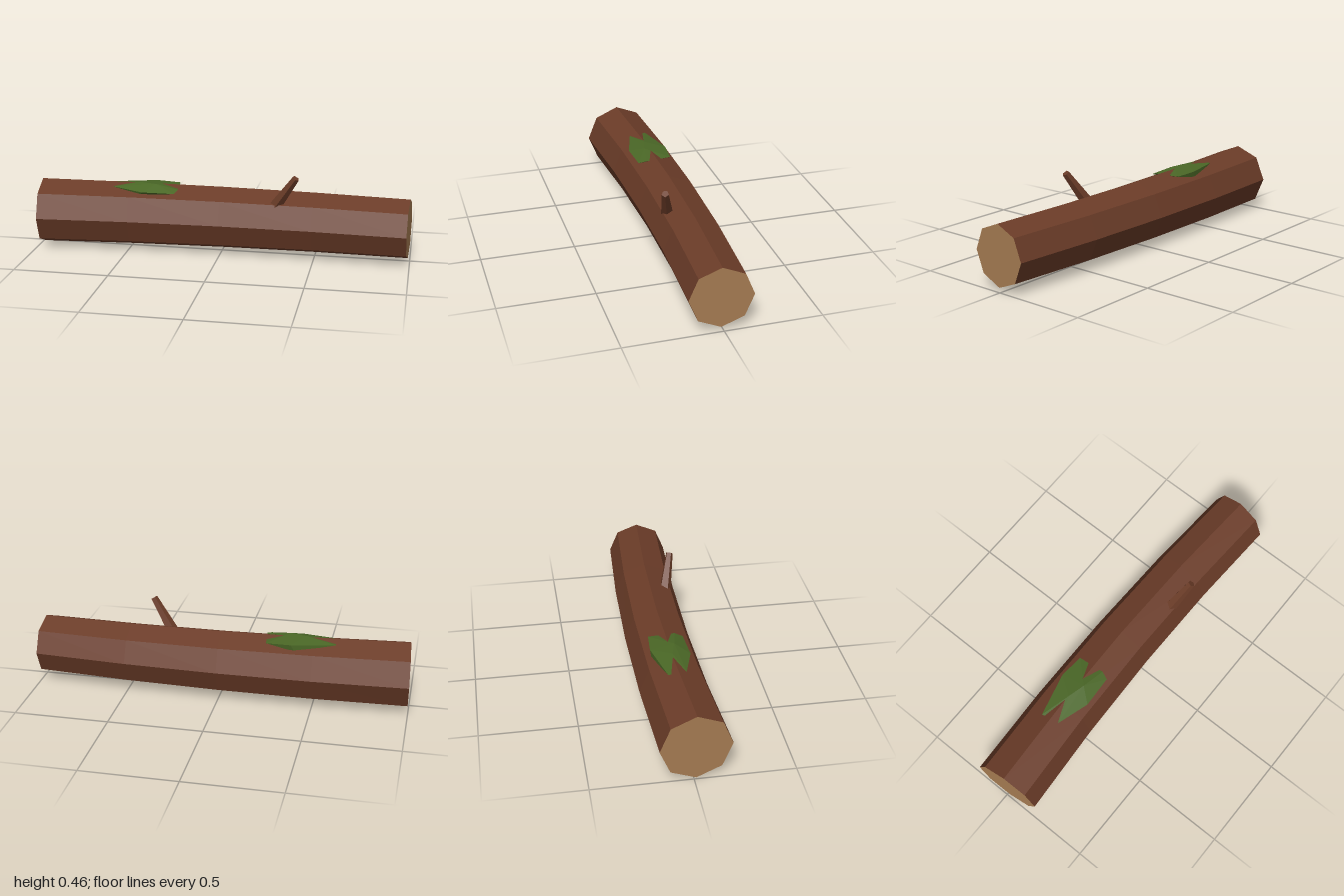
import * as THREE from 'three';
import { ConvexGeometry } from 'three/addons/geometries/ConvexGeometry.js';

const flat = (name, color) => {
  const m = new THREE.MeshStandardMaterial({ color, flatShading: true });
  m.name = name;
  return m;
};

export function createModel() {
  const group = new THREE.Group();
  group.name = 'fallenLog';
  const bark = flat('bark', 0x6b3c28);
  const wood = flat('cutWood', 0xa67c52);
  const moss = flat('moss', 0x4a6726);

  const add = (name, geometry, material) => {
    const mesh = new THREE.Mesh(geometry, material);
    mesh.name = name;
    group.add(mesh);
    return mesh;
  };

  // Trunk: tapered octagonal cylinder lying along x, bowed gently towards -z
  const trunk = new THREE.CylinderGeometry(0.16, 0.178, 1.98, 8, 4);
  trunk.rotateZ(-Math.PI / 2);
  const p = trunk.attributes.position;
  for (let i = 0; i < p.count; i++) {
    const x = p.getX(i), z = p.getZ(i);
    p.setXYZ(i, x - 0.06 * x * z, p.getY(i) + 0.179 + 0.001 * x, z - 0.023 + 0.036 * x * x);
  }
  trunk.computeVertexNormals();
  add('trunk', trunk, [bark, wood, wood]);

  // Broken twig: tapered stub leaning out of the upper front
  const base = new THREE.Vector3(0.27, 0.25, 0.062);
  const tip = new THREE.Vector3(0.405, 0.452, 0.115);
  const axis = tip.clone().sub(base);
  const twig = add('twig', new THREE.CylinderGeometry(0.019, 0.036, axis.length(), 5), bark);
  twig.position.copy(base).add(tip).multiplyScalar(0.5);
  twig.quaternion.setFromUnitVectors(new THREE.Vector3(0, 1, 0), axis.normalize());

  // Moss: faceted cushion straddling the top ridge
  const mossPoints = [
    [-0.61, 0.338, -0.06], [-0.38, 0.341, -0.115], [-0.25, 0.337, -0.105], [-0.25, 0.337, -0.06],
    [-0.59, 0.336, 0.035], [-0.42, 0.325, 0.085], [-0.25, 0.322, 0.075], [-0.235, 0.335, 0.035],
    [-0.45, 0.355, -0.012], [-0.36, 0.355, 0.012],
    [-0.40, 0.305, -0.11], [-0.44, 0.305, 0.07], [-0.42, 0.28, -0.02],
  ].map((v) => new THREE.Vector3(...v));
  add('mossPatch', new ConvexGeometry(mossPoints), moss);

  return group;
}
